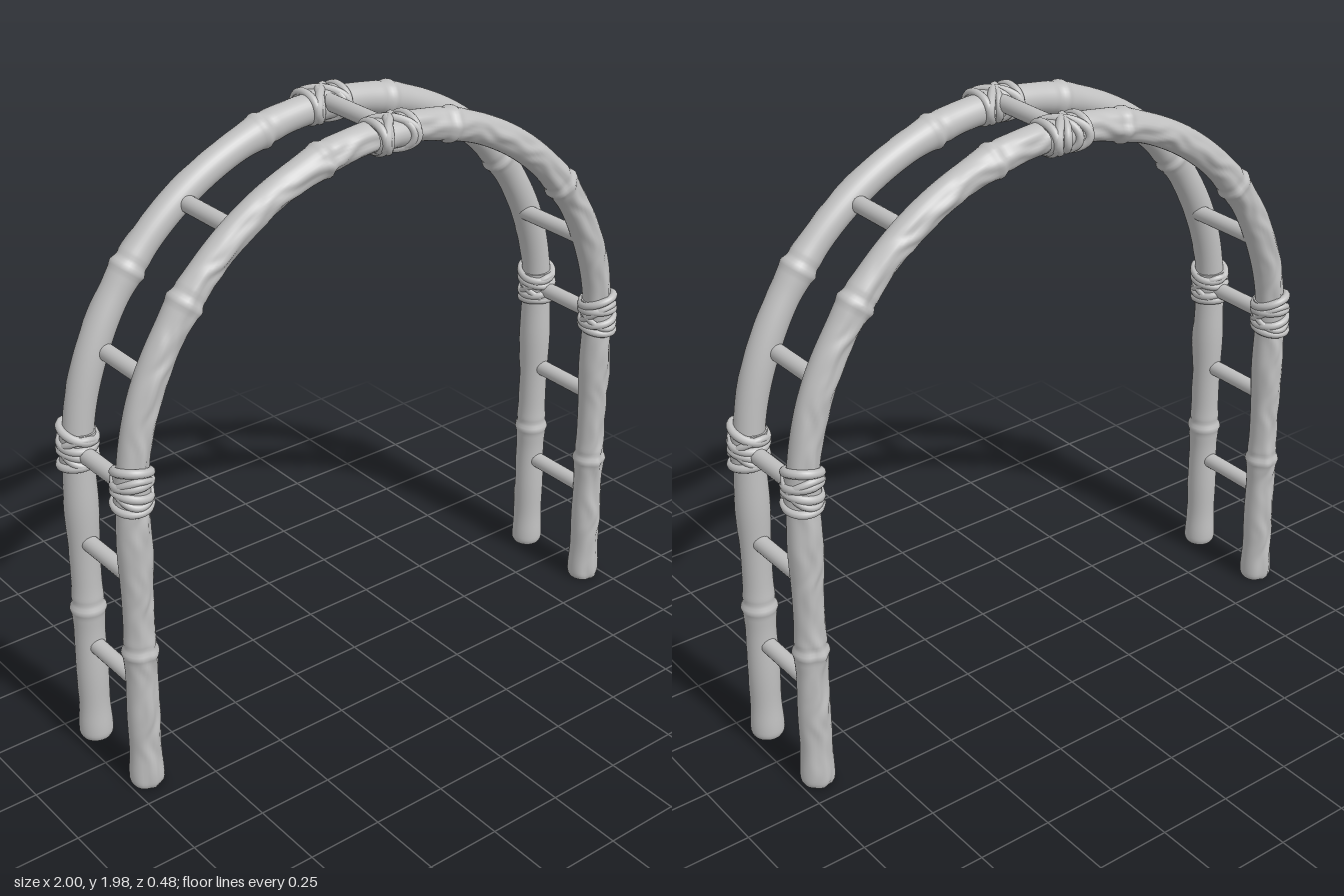
import * as THREE from 'three';

const LEG = 1.0, RX = 0.93, RY = 0.92, Z0 = 0.15;
const ARC = Math.PI * RY, TOTAL = 2 * LEG + ARC;
const bell = (d, w) => Math.exp(-(d / w) * (d / w));

// Centre line of the arch: up the left leg, over the top, down the right leg
function pathPoint(u) {
  if (u > TOTAL / 2) {
    const p = pathPoint(TOTAL - u);
    p.x *= -1;
    return p;
  }
  if (u < LEG) return new THREE.Vector3(0.94 - 0.01 * u, u, 0);
  const a = (u - LEG) / RY;
  return new THREE.Vector3(RX * Math.cos(a), LEG + RY * Math.sin(a), 0);
}

function frameAt(u) {
  const a = pathPoint(Math.max(0, u - 0.004)), b = pathPoint(Math.min(TOTAL, u + 0.004));
  const t = b.sub(a).normalize();
  return { p: pathPoint(u), t, n: new THREE.Vector3(t.y, -t.x, 0) };
}

// Pole thickness: a gentle swelling and a fine ridge at each joint
const JOINTS = [0.49, LEG + 0.68 * RY, LEG + 1.31 * RY];
function poleRadius(u) {
  const d = Math.min(u, TOTAL - u);
  let r = 0.048 + 0.007 * bell(d - 0.03, 0.07) + 0.006 * bell(d - 0.86, 0.12);
  r += 0.004 * bell(d - 0.25, 0.12) + 0.003 * bell(d - 1.35, 0.15);
  for (const j of JOINTS) {
    r += 0.006 * bell(d - j, 0.055) + 0.005 * bell(d - j, 0.011);
    r -= 0.003 * bell(d - j - 0.025, 0.01);
  }
  return r - 0.006 * bell(d, 0.008);
}

// Wavy grain and oval knots carved on the outward face
function grain(u, phi, side) {
  const w = Math.max(0, Math.sin(phi) * side);
  const across = Math.cos(phi);
  const wave = Math.sin(across * 7 + 2.2 * Math.sin(u * 17) + Math.sin(u * 41));
  const knot = Math.sin(u * 29) * Math.cos(across * 4 - 1.3 * Math.sin(u * 11));
  return w * w * (0.0028 * wave + 0.003 * knot - 0.001);
}

function poleGeometry(side) {
  const rows = 520, cols = 32, pos = [], index = [];
  for (let i = 0; i <= rows; i++) {
    const u = TOTAL * i / rows, { p, n } = frameAt(u);
    for (let j = 0; j < cols; j++) {
      const phi = 2 * Math.PI * j / cols;
      const r = poleRadius(u) + grain(u, phi, side);
      const c = r * Math.cos(phi), k = (i + 1) * cols;
      pos.push(p.x + n.x * c, p.y + n.y * c, r * Math.sin(phi));
      if (i < rows) {
        const a = i * cols + j, b = i * cols + (j + 1) % cols;
        const d = k + j, e = k + (j + 1) % cols;
        index.push(a, d, b, b, d, e);
      }
    }
  }
  const g = new THREE.BufferGeometry();
  g.setAttribute('position', new THREE.Float32BufferAttribute(pos, 3));
  g.setIndex(index);
  g.computeVertexNormals();
  return g;
}

// One closed loop of rope round a pole; local x is outward, y along the pole
function ropeLoop(rx, rz, thick, offset, slopeX, slopeZ) {
  const pts = [];
  for (let i = 0; i < 20; i++) {
    const a = 2 * Math.PI * i / 20, c = Math.cos(a), s = Math.sin(a);
    pts.push(new THREE.Vector3(rx * c, offset + slopeX * c + slopeZ * s, rz * s));
  }
  return new THREE.TubeGeometry(new THREE.CatmullRomCurve3(pts, true), 48, thick, 10, true);
}

export function createModel() {
  const model = new THREE.Group();
  const wood = new THREE.MeshStandardMaterial({ color: 0xc0c0c0 });
  wood.name = 'pale grey wood';
  const add = (parent, name, geometry) => {
    const m = new THREE.Mesh(geometry, wood);
    m.name = name;
    parent.add(m);
    return m;
  };

  // Group whose y axis runs along the pole at distance u
  const lashing = (name, u, z) => {
    const { p, t, n } = frameAt(u);
    const g = new THREE.Group();
    g.name = name;
    g.applyMatrix4(new THREE.Matrix4().makeBasis(n, t, new THREE.Vector3(0, 0, 1)));
    g.position.set(p.x, p.y, z);
    model.add(g);
    return g;
  };

  for (const side of [1, -1]) {
    const z = side * Z0;
    add(model, 'archPole', poleGeometry(side)).position.z = z;

    // Closed ends of the pole
    for (const x of [-0.94, 0.94]) {
      const cap = add(model, 'poleEnd', new THREE.CircleGeometry(0.051, 32));
      cap.rotation.x = Math.PI / 2;
      cap.position.set(x, 0.0005, z);
    }

    // Rope wrapped where the legs meet the arch
    for (const right of [false, true]) {
      const g = lashing('shoulderLashing', right ? TOTAL - 1.06 : 1.06, z);
      const dir = right ? -1 : 1;
      add(g, 'lashingCore', new THREE.CylinderGeometry(0.055, 0.055, 0.11, 28));
      for (let i = 0; i < 4; i++) {
        const y = dir * (-0.052 + i * 0.034);
        const tilt = dir * (i % 2 ? 0.009 : -0.006);
        add(g, 'ropeLoop', ropeLoop(0.052, 0.055, 0.014, y, tilt, side * dir * 0.008 * (i - 1)));
      }
      // Crossing strands
      for (const k of [-1, 1]) add(g, 'crossRope', ropeLoop(0.052, 0.056, 0.012, 0, k * 0.006, k * 0.042));
    }

    // Crossed rope at the crown
    const crown = lashing('crownLashing', TOTAL / 2, side * (Z0 + 0.013));
    const core = add(crown, 'lashingCore', new THREE.LatheGeometry([
      [0.045, -0.075], [0.056, -0.068], [0.05, 0], [0.056, 0.068], [0.045, 0.075],
    ].map(([r, y]) => new THREE.Vector2(r, y)), 28));
    core.scale.set(0.92, 1, 1.15);
    for (const k of [-1, 1]) {
      add(crown, 'crossRope', ropeLoop(0.047, 0.064, 0.014, 0, 0, k * 0.058));
      add(crown, 'crossRope', ropeLoop(0.046, 0.062, 0.013, k * 0.012, 0, k * 0.034));
      add(crown, 'edgeRope', ropeLoop(0.045, 0.06, 0.014, k * 0.058, 0.004 * k, 0));
    }
  }

  // Rungs joining the two poles
  const rung = (x, y) => {
    const m = add(model, 'rung', new THREE.CylinderGeometry(0.027, 0.027, 0.26, 20));
    m.rotation.x = Math.PI / 2;
    m.position.set(x, y, 0);
  };
  rung(0, 1.935);
  for (const s of [-1, 1]) {
    for (const [x, y] of [[0.935, 0.36], [0.935, 0.74], [0.93, 1.05], [0.835, 1.36], [0.53, 1.745]]) rung(s * x, y);
  }
  return model;
}
